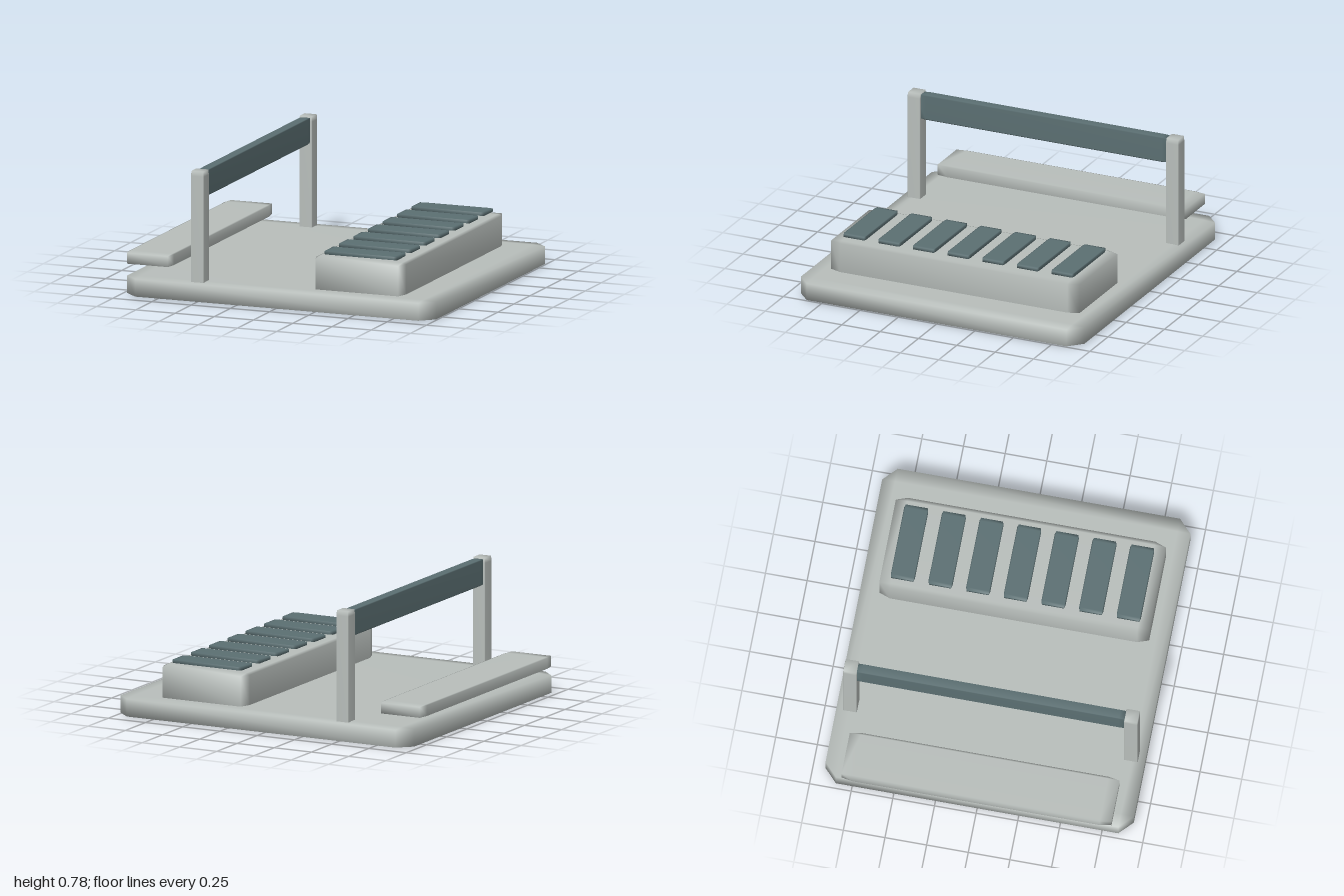
import * as THREE from 'three';
import { mergeVertices } from 'three/addons/utils/BufferGeometryUtils.js';

// Smooth-shaded box with every edge chamfered in proportion to its size
function chamferBox(w, h, d, c = 0.042) {
  const o = 0.5, i = 0.5 - c;
  const octagon = [[o, i], [i, o], [-i, o], [-o, i], [-o, -i], [-i, -o], [i, -o], [o, -i]];
  const inset = octagon.map(([x, z]) => [Math.sign(x) * i, Math.sign(z) * i]);
  const rings = [[inset, -o], [octagon, -i], [octagon, i], [inset, o]];
  const positions = [], index = [];
  for (const [ring, y] of rings) {
    for (const [x, z] of ring) positions.push(x * w, y * h, z * d);
  }
  for (let r = 0; r < 3; r++) {
    for (let k = 0; k < 8; k++) {
      // Inset rings have coincident pairs, so their corners become triangles
      const a = r * 8 + k, b = r * 8 + (k + 1) % 8;
      const pair = k % 2 === 0;
      if (!(pair && r === 0)) index.push(a, b + 8, b);
      if (!(pair && r === 2)) index.push(a, a + 8, b + 8);
      if (pair && r === 0) index.splice(index.length - 3, 3, a, a + 8, b + 8);
      if (pair && r === 2) index.splice(index.length - 3, 3, a, a + 8, b);
    }
  }
  index.push(0, 2, 4, 0, 4, 6, 24, 28, 26, 24, 30, 28);
  let geometry = new THREE.BufferGeometry();
  geometry.setAttribute('position', new THREE.Float32BufferAttribute(positions, 3));
  geometry.setIndex(index);
  geometry = mergeVertices(geometry, 1e-5);
  geometry.computeVertexNormals();
  return geometry;
}

export function createModel() {
  const model = new THREE.Group();
  model.name = 'platformModel';
  const paleGrey = new THREE.MeshStandardMaterial({ color: 0xb8bebb });
  paleGrey.name = 'paleGrey';
  const slate = new THREE.MeshStandardMaterial({ color: 0x5b6f72 });
  slate.name = 'slate';

  // Place a chamfered box by its extents on each axis
  const add = (name, material, [x0, x1], [y0, y1], [z0, z1]) => {
    const mesh = new THREE.Mesh(chamferBox(x1 - x0, y1 - y0, z1 - z0), material);
    mesh.position.set((x0 + x1) / 2, (y0 + y1) / 2, (z0 + z1) / 2);
    mesh.name = name;
    model.add(mesh);
  };

  // Floor slab, raised block and hovering step
  add('base', paleGrey, [-0.97, 1], [0, 0.115], [-0.925, 0.925]);
  add('block', paleGrey, [0.19, 0.765], [0.1, 0.305], [-0.81, 0.81]);
  add('step', paleGrey, [-1, -0.715], [0.17, 0.24], [-0.81, 0.81]);

  // Two posts carrying a cross panel
  for (const side of [-1, 1]) {
    const z = side * 0.843;
    add(side > 0 ? 'frontPost' : 'backPost', paleGrey, [-0.55, -0.467], [0.08, 0.782], [z - 0.042, z + 0.042]);
  }
  add('crossPanel', slate, [-0.538, -0.48], [0.62, 0.777], [-0.84, 0.84]);

  // Row of slats above the block
  for (let i = -3; i <= 3; i++) {
    const z = i * 0.226;
    add('slat' + (i + 4), slate, [0.245, 0.708], [0.316, 0.337], [z - 0.072, z + 0.072]);
  }
  return model;
}
